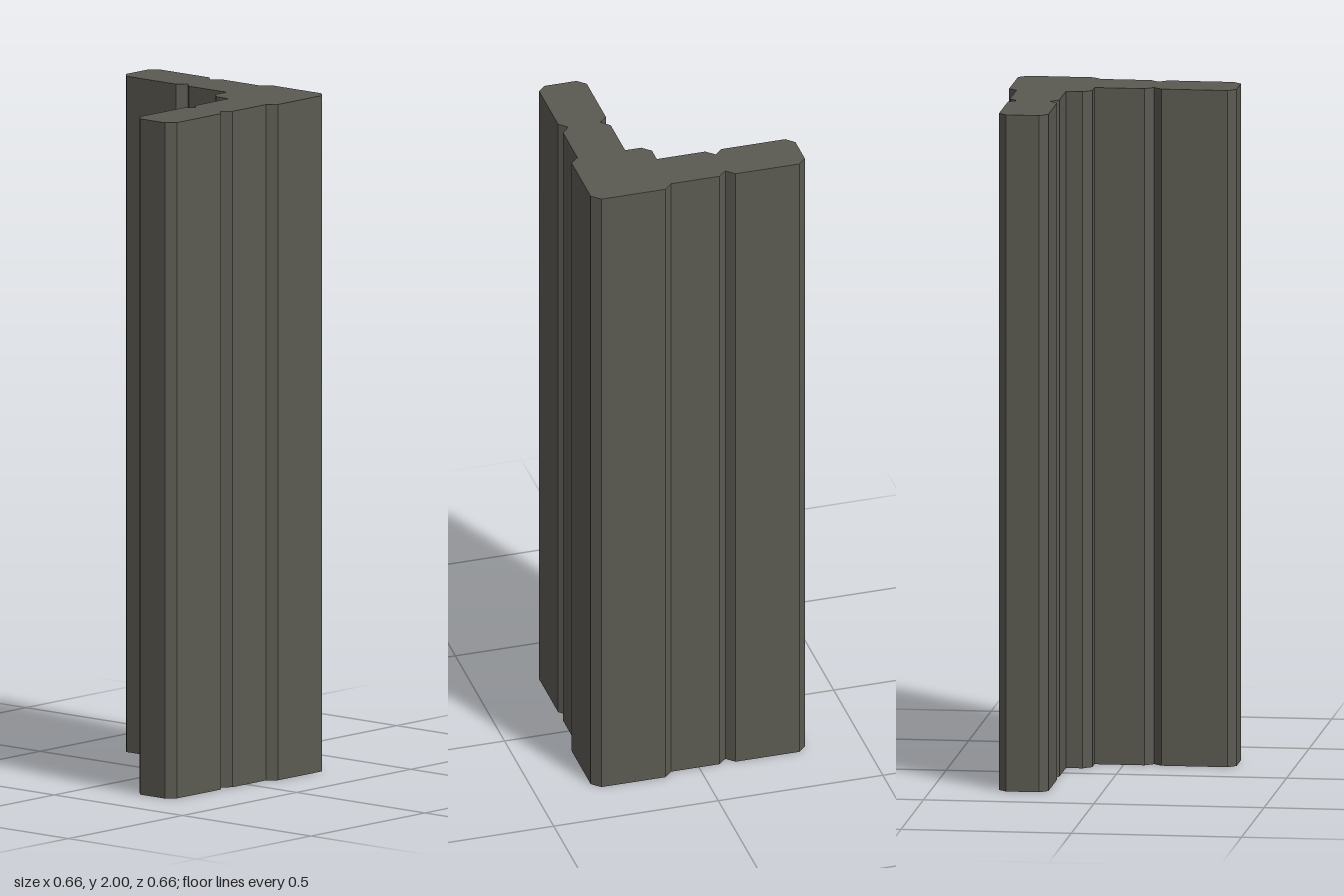
import * as THREE from 'three';

export function createModel() {
  const group = new THREE.Group();
  group.name = 'cornerWall';

  // Half of the floor plan as [x, z]: round the left-running wing, from the outer corner to the inner one
  const wing = [
    [0.304, 0.329], [0.11, 0.329], [0.085, 0.304],        // corner post, outer side
    [-0.062, 0.304], [-0.087, 0.28], [-0.111, 0.304],     // outer V-groove
    [-0.305, 0.304], [-0.329, 0.28],                      // chamfered wing end
    [-0.329, 0.183], [-0.305, 0.159],
    [-0.111, 0.159], [-0.087, 0.183], [-0.062, 0.159],    // inner V-groove
    [0.085, 0.159], [0.085, 0.11],                        // corner post, inner side
  ];

  // The other wing mirrors the first across the diagonal
  const plan = [...wing, ...wing.map(([x, z]) => [z, x]).reverse()];
  const shape = new THREE.Shape(plan.map(([x, z]) => new THREE.Vector2(x, -z)));

  // Extrude the plan upward
  const geometry = new THREE.ExtrudeGeometry(shape, { depth: 2, bevelEnabled: false });
  geometry.rotateX(-Math.PI / 2);

  const material = new THREE.MeshStandardMaterial({ color: 0x5b5a52 });
  const wall = new THREE.Mesh(geometry, material);
  wall.name = 'groovedCornerWall';
  group.add(wall);
  return group;
}
